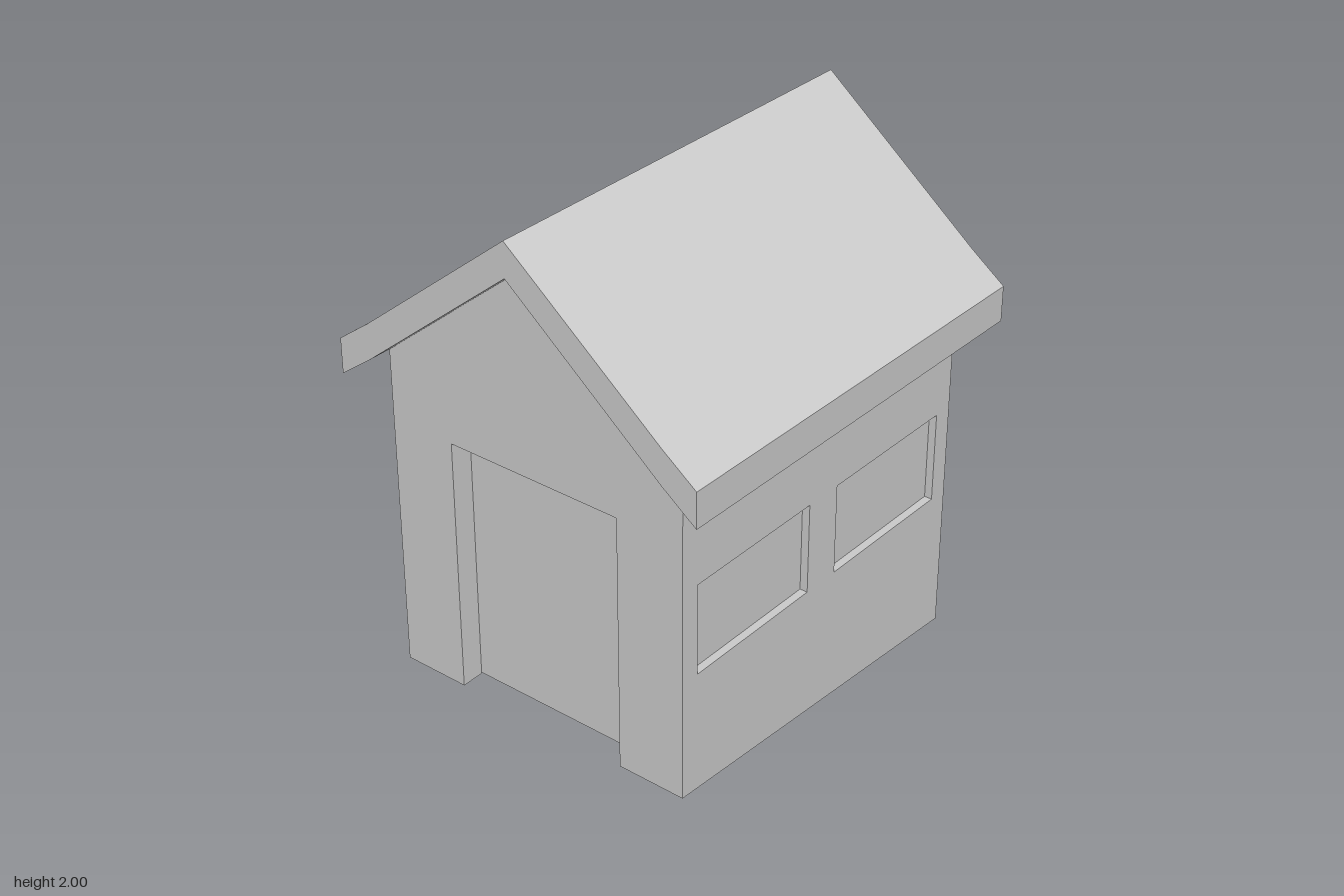
import * as THREE from 'three';

const W = 0.625, D = 0.75; // half width and half depth of the walls

export function createModel() {
  const grey = new THREE.MeshStandardMaterial({ color: 0xcccccc, side: THREE.DoubleSide });
  grey.name = 'plain grey';
  const house = new THREE.Group();
  house.name = 'house';

  const add = (name, geometry, parent = house) => {
    const mesh = new THREE.Mesh(geometry, grey);
    mesh.name = name;
    parent.add(mesh);
    return mesh;
  };
  const polygon = (points) => new THREE.Shape(points.map(([x, y]) => new THREE.Vector2(x, y)));
  const rectangle = (x0, y0, x1, y1) => polygon([[x0, y0], [x1, y0], [x1, y1], [x0, y1]]);

  // Open reveal: the first box faces only (right, left, top, then bottom)
  const reveal = (w, h, d, faces) => {
    const g = new THREE.BoxGeometry(w, h, d);
    g.setIndex(Array.from(g.index.array).slice(0, faces * 6));
    g.clearGroups();
    return g;
  };

  // Roof: solid gable slab with a slightly flatter eave
  const roof = polygon([
    [0, 2], [-0.62, 1.5], [-0.755, 1.4], [-0.755, 1.265], [-0.62, 1.365],
    [0, 1.87], [0.62, 1.365], [0.755, 1.265], [0.755, 1.4], [0.62, 1.5],
  ]);
  add('roof', new THREE.ExtrudeGeometry(roof, { depth: 1.69, bevelEnabled: false }).translate(0, 0, -0.845));

  // Front wall with the doorway cut through its lower edge
  const front = polygon([
    [-W, 0.1], [-0.36, 0.1], [-0.36, 1.095], [0.355, 1.095], [0.355, 0.1],
    [W, 0.1], [W, 1.365], [0, 1.87], [-W, 1.365],
  ]);
  add('frontWall', new THREE.ShapeGeometry(front).translate(0, 0, D));

  // Back wall with its uneven foot, turned to face backwards
  const back = polygon([[-W, 0], [0, 0.015], [W, 0.095], [W, 1.365], [0, 1.87], [-W, 1.365]]);
  add('backWall', new THREE.ShapeGeometry(back).rotateY(Math.PI).translate(0, 0, -D));

  // Recessed door
  add('doorReveal', reveal(0.715, 0.995, 0.09, 3).translate(-0.0025, 0.5975, 0.705));
  add('door', new THREE.BoxGeometry(0.715, 0.99, 0.14).translate(-0.0025, 0.6, 0.59));

  // Window: outer reveal, thick pane and four-light glazing bars on the inside
  const makeWindow = () => {
    const w = 0.595, h = 0.35, group = new THREE.Group();
    group.name = 'window';
    add('windowReveal', reveal(w, h, 0.03, 4).translate(0, 0, -0.015), group);
    add('windowPane', new THREE.BoxGeometry(w, h, 0.075).translate(0, 0, -0.0675), group);
    const bars = rectangle(-w / 2, -h / 2, w / 2, h / 2);
    for (const sx of [-1, 1]) for (const sy of [-1, 1]) {
      const cx = sx * 0.14, cy = sy * 0.08;
      bars.holes.push(rectangle(cx - 0.125, cy - 0.065, cx + 0.125, cy + 0.065));
    }
    add('glazingBars', new THREE.ExtrudeGeometry(bars, { depth: 0.025, bevelEnabled: false })
      .translate(0, 0, -0.13), group);
    return group;
  };

  // Side walls, each with two windows
  for (const side of [1, -1]) {
    const wall = new THREE.Group();
    wall.name = side > 0 ? 'leftSide' : 'rightSide';
    const backFoot = side > 0 ? 0 : 0.095;
    const frontX = -side * D;
    const shape = polygon([[frontX, 0.1], [-frontX, backFoot], [-frontX, 1.365], [frontX, 1.365]]);
    for (const cx of [-0.375, 0.375]) {
      shape.holes.push(rectangle(cx - 0.2975, 0.565, cx + 0.2975, 0.915));
      const win = makeWindow();
      win.position.set(cx, 0.74, 0);
      wall.add(win);
    }
    add('sideWall', new THREE.ShapeGeometry(shape), wall);
    wall.rotation.y = side * Math.PI / 2;
    wall.position.x = side * W;
    house.add(wall);
  }
  return house;
}
